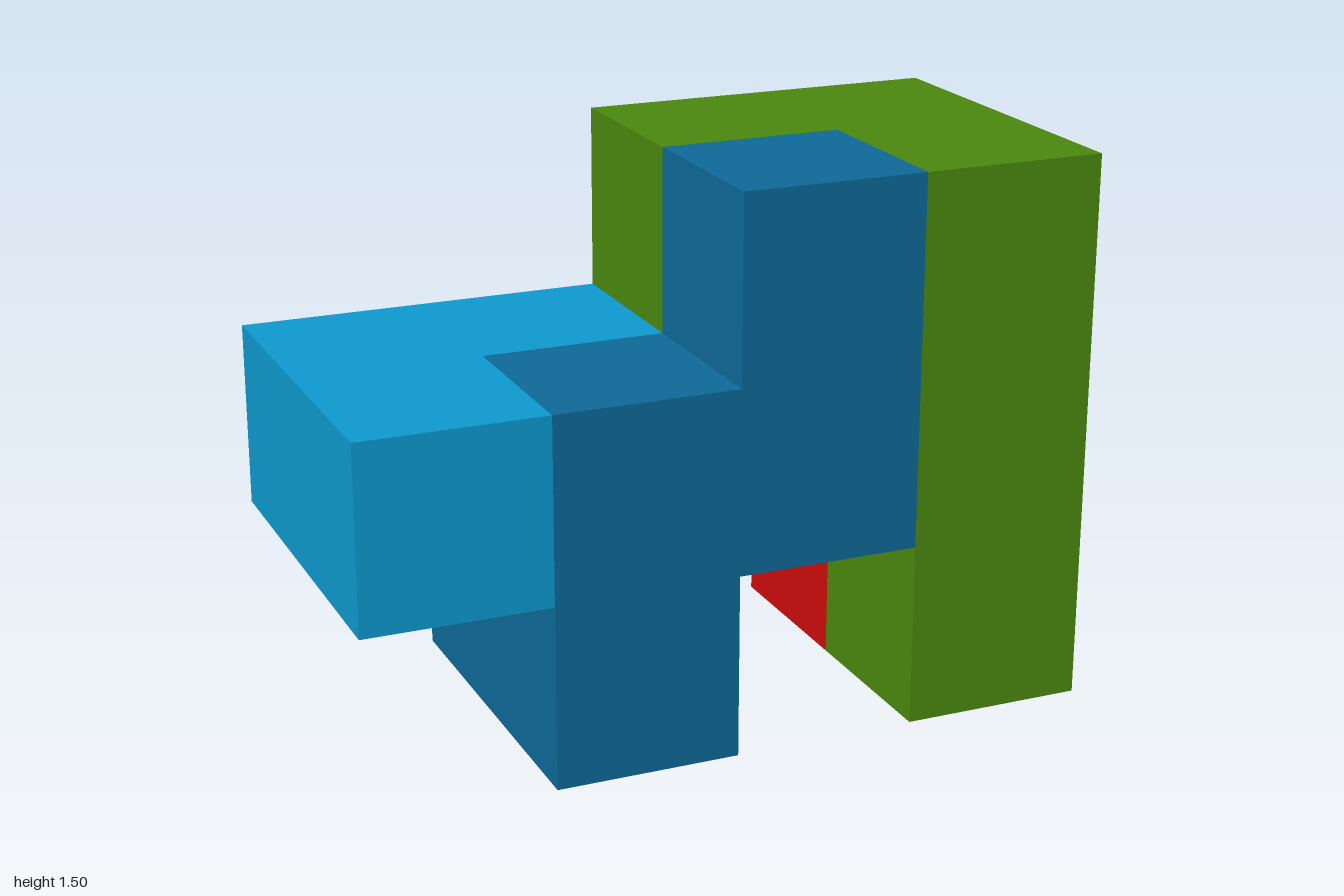
import * as THREE from 'three';

const U = 0.5; // edge of one cube cell

// Each piece is a set of blocks in cell units: [x, y, z, width, height, depth], z = 0 at the back.
const PIECES = [
  { name: 'lightBluePiece', color: 0x0d98cd, blocks: [[0, 1, 0, 3, 1, 1], [0, 1, 1, 1, 1, 1]] },
  { name: 'darkBluePiece', color: 0x0d6997, blocks: [[1, 0, 0, 1, 1, 2], [1, 1, 1, 2, 1, 1], [2, 2, 1, 1, 1, 1]] },
  { name: 'greenPiece', color: 0x4a870e, blocks: [[3, 0, 1, 1, 3, 1], [2, 2, 0, 2, 1, 1]] },
  { name: 'redPiece', color: 0xcc0c0c, blocks: [[3, 0, 0, 1, 2, 1]] },
];

// Box placed by its lower back left cell, with the 4 x 3 x 2 grid centred on x and z
function block([x, y, z, w, h, d], material) {
  const mesh = new THREE.Mesh(new THREE.BoxGeometry(w * U, h * U, d * U), material);
  mesh.position.set((x + w / 2 - 2) * U, (y + h / 2) * U, (z + d / 2 - 1) * U);
  return mesh;
}

export function createModel() {
  const model = new THREE.Group();
  model.name = 'blockPuzzle';
  for (const { name, color, blocks } of PIECES) {
    const material = new THREE.MeshStandardMaterial({ color });
    material.name = name.replace('Piece', '');
    const piece = new THREE.Group();
    piece.name = name;
    blocks.forEach((b, i) => {
      const mesh = block(b, material);
      mesh.name = `${name}Block${i + 1}`;
      piece.add(mesh);
    });
    model.add(piece);
  }
  return model;
}
